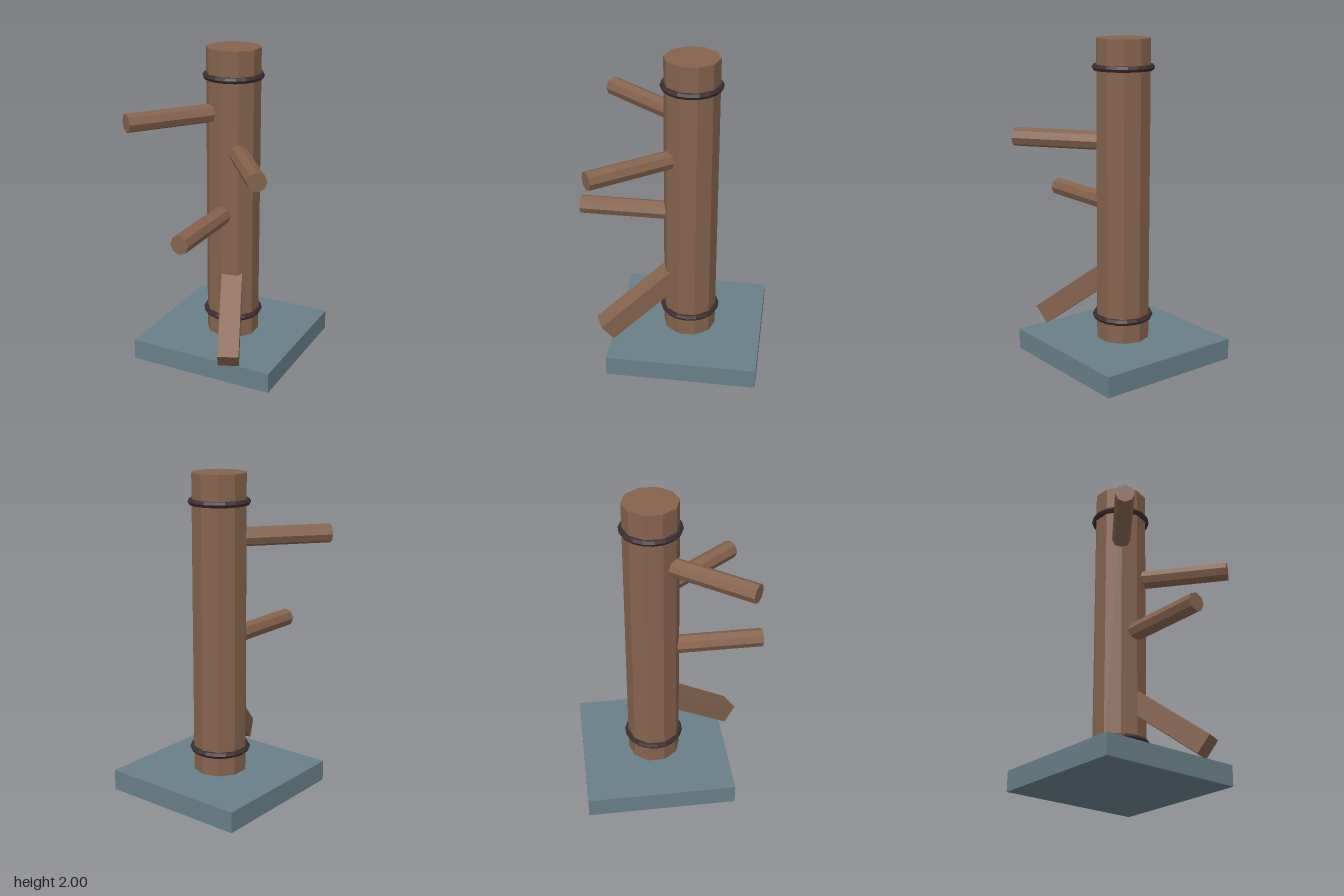
import * as THREE from 'three';

const POST_Z = -0.112; // all parts radiate from the post axis
const POST_R = 0.169;
const BASE_H = 0.13;

export function createModel() {
  const material = (name, color) => {
    const m = new THREE.MeshStandardMaterial({ color, flatShading: true });
    m.name = name;
    return m;
  };
  const wood = material('wood', 0x85634d);
  const slate = material('slate', 0x687f88);
  const band = material('darkBand', 0x3d2d2f);

  const model = new THREE.Group();
  model.name = 'trainingDummy';
  const core = new THREE.Group();
  core.name = 'body';
  core.position.z = POST_Z;
  model.add(core);

  const add = (name, geometry, mat, y) => {
    const mesh = new THREE.Mesh(geometry, mat);
    mesh.name = name;
    mesh.position.y = y;
    core.add(mesh);
    return mesh;
  };

  // Square base and ten-sided post
  add('base', new THREE.BoxGeometry(0.95, BASE_H, 0.95), slate, BASE_H / 2);
  const postH = 2 - BASE_H;
  add('post', new THREE.CylinderGeometry(POST_R, POST_R, postH, 10), wood, BASE_H + postH / 2);

  // Bands round the post
  for (const [name, y] of [['lowerBand', 0.27], ['upperBand', 1.828]]) {
    add(name, new THREE.TorusGeometry(0.17, 0.02, 6, 18).rotateX(Math.PI / 2), band, y);
  }

  // Horizontal eight-sided arms, running outwards from the post axis
  const armLength = 0.7;
  const armGeometry = new THREE.CylinderGeometry(0.059, 0.059, armLength, 8)
    .rotateX(Math.PI / 2)
    .translate(0, 0, armLength / 2);
  for (const [name, y, yaw] of [
    ['rightArm', 1.608, -0.65],
    ['leftArm', 1.375, 0.65],
    ['middleArm', 0.97, 0],
  ]) {
    add(name, armGeometry, wood, y).rotation.y = yaw;
  }

  // Square leg sloping down to the front left
  const legLength = 0.716;
  const legGeometry = new THREE.BoxGeometry(0.13, 0.13, legLength)
    .translate(0, 0, legLength / 2)
    .rotateX(0.645)
    .rotateY(0.41);
  add('leg', legGeometry, wood, 0.61);

  return model;
}
